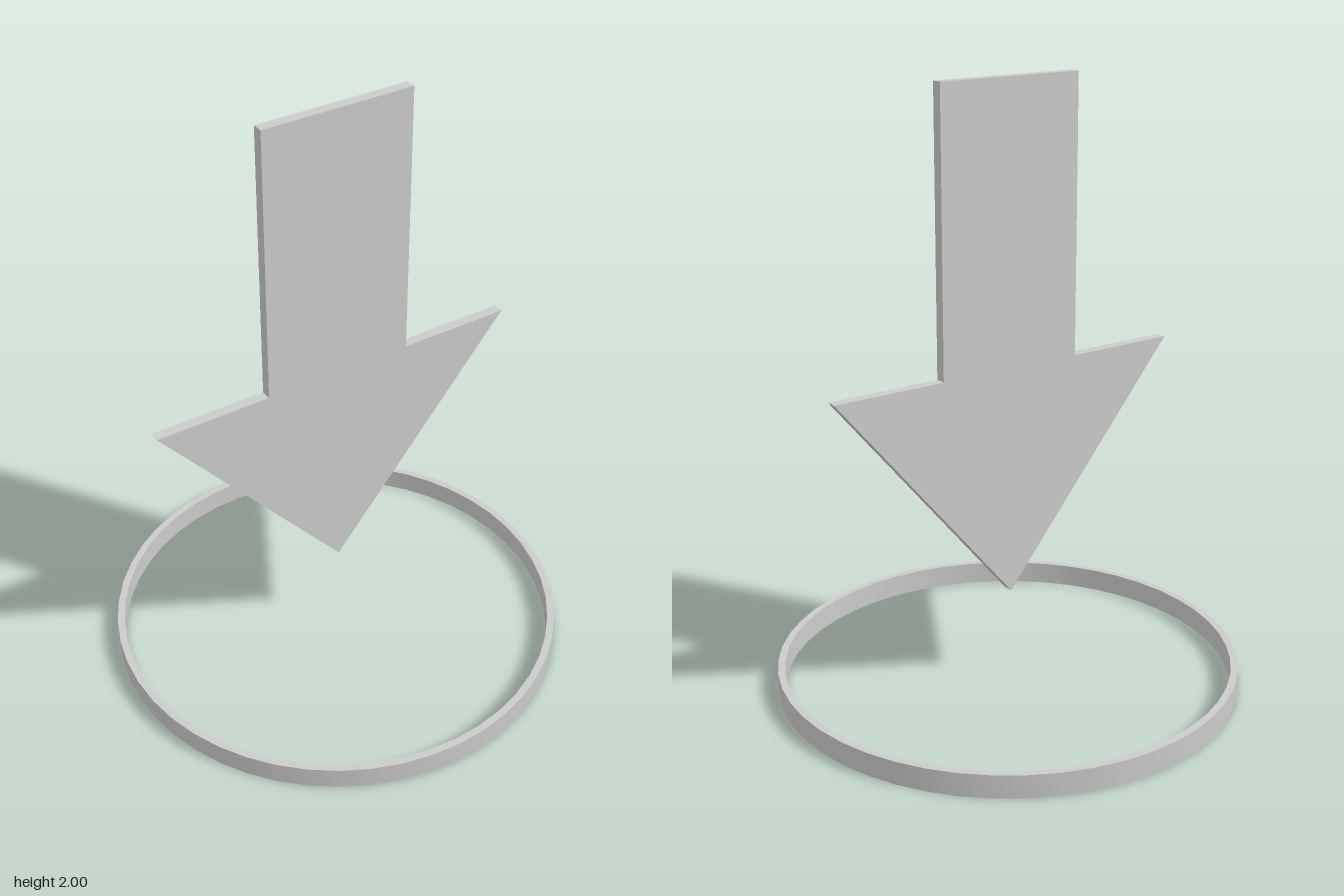
import * as THREE from 'three';
import { toCreasedNormals } from 'three/addons/utils/BufferGeometryUtils.js';

export function createModel() {
  const group = new THREE.Group();
  const material = new THREE.MeshStandardMaterial({ color: 0xcccccc });

  // Flat arrow pointing down, turned about the vertical axis
  const tip = 0.315, shoulder = 1.085, top = 2;
  const headHalf = 0.645, shaftHalf = 0.257, thickness = 0.036;
  const outline = new THREE.Shape([
    [0, tip], [headHalf, shoulder], [shaftHalf, shoulder], [shaftHalf, top],
    [-shaftHalf, top], [-shaftHalf, shoulder], [-headHalf, shoulder],
  ].map(([x, y]) => new THREE.Vector2(x, y)));
  const arrowGeometry = new THREE.ExtrudeGeometry(outline, { depth: thickness, bevelEnabled: false });
  arrowGeometry.translate(0, 0, -thickness / 2);
  const arrow = new THREE.Mesh(arrowGeometry, material);
  arrow.name = 'arrow';
  arrow.rotation.y = 0.295;
  group.add(arrow);

  // Thin ring on the ground: a rectangular section turned around the axis
  const outer = 0.77, inner = 0.746, height = 0.077;
  const section = [[outer, 0], [outer, height], [inner, height], [inner, 0], [outer, 0]]
    .map(([r, y]) => new THREE.Vector2(r, y));
  const ring = new THREE.Mesh(toCreasedNormals(new THREE.LatheGeometry(section, 48), 0.6), material);
  ring.name = 'groundRing';
  group.add(ring);

  return group;
}
